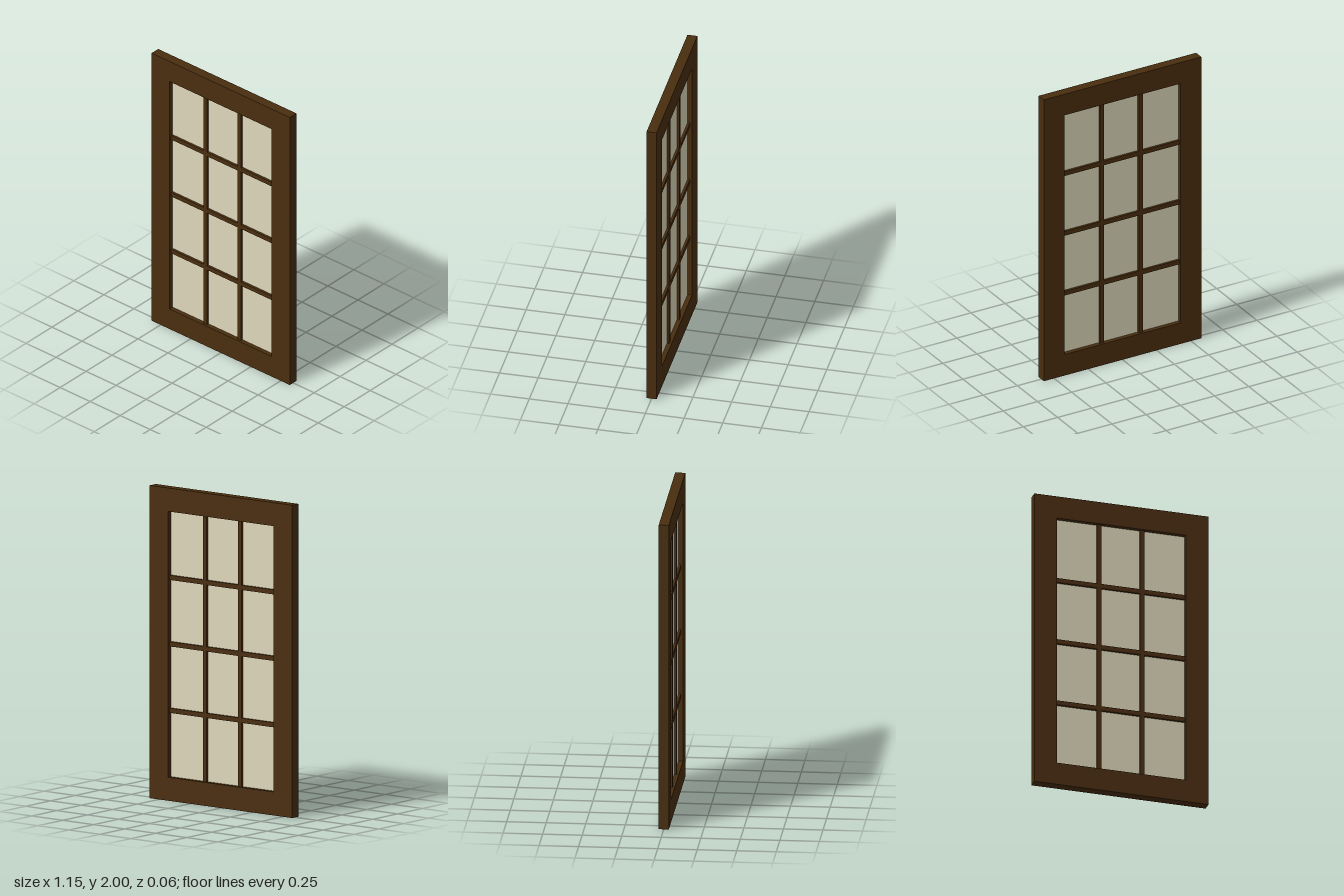
import * as THREE from 'three';

const WIDTH = 1.15, HEIGHT = 2, DEPTH = 0.064, BORDER = 0.15;
const COLS = 3, ROWS = 4;
const BAR = 0.03, BAR_DEPTH = 0.036, GLASS_DEPTH = 0.006;

export function createModel() {
  const group = new THREE.Group();
  const wood = new THREE.MeshStandardMaterial({ color: 0x4a2e0f });
  const glass = new THREE.MeshStandardMaterial({ color: 0xddd7ba });
  const innerW = WIDTH - 2 * BORDER, innerH = HEIGHT - 2 * BORDER;

  const add = (name, geometry, material, x = 0, y = HEIGHT / 2) => {
    const mesh = new THREE.Mesh(geometry, material);
    mesh.name = name;
    mesh.position.set(x, y, 0);
    group.add(mesh);
  };

  const rectangle = (Type, w, h) => new Type([
    new THREE.Vector2(-w / 2, -h / 2), new THREE.Vector2(w / 2, -h / 2),
    new THREE.Vector2(w / 2, h / 2), new THREE.Vector2(-w / 2, h / 2),
  ]);

  // Outer frame with one rectangular opening
  const outline = rectangle(THREE.Shape, WIDTH, HEIGHT);
  outline.holes.push(rectangle(THREE.Path, innerW, innerH));
  const frame = new THREE.ExtrudeGeometry(outline, { depth: DEPTH, bevelEnabled: false });
  frame.translate(0, 0, -DEPTH / 2);
  add('frame', frame, wood);

  // Glass sheet in the middle of the frame
  add('glass', new THREE.BoxGeometry(innerW, innerH, GLASS_DEPTH), glass);

  // Upright glazing bars
  for (let i = 1; i < COLS; i++) {
    add('verticalBar', new THREE.BoxGeometry(BAR, innerH, BAR_DEPTH), wood,
      -innerW / 2 + (innerW * i) / COLS);
  }

  // Level glazing bars, cut between the uprights
  const paneW = innerW / COLS;
  for (let j = 1; j < ROWS; j++) {
    for (let i = 0; i < COLS; i++) {
      const left = -innerW / 2 + paneW * i + (i > 0 ? BAR / 2 : 0);
      const right = -innerW / 2 + paneW * (i + 1) - (i < COLS - 1 ? BAR / 2 : 0);
      add('horizontalBar', new THREE.BoxGeometry(right - left, BAR, BAR_DEPTH), wood,
        (left + right) / 2, BORDER + (innerH * j) / ROWS);
    }
  }
  return group;
}
